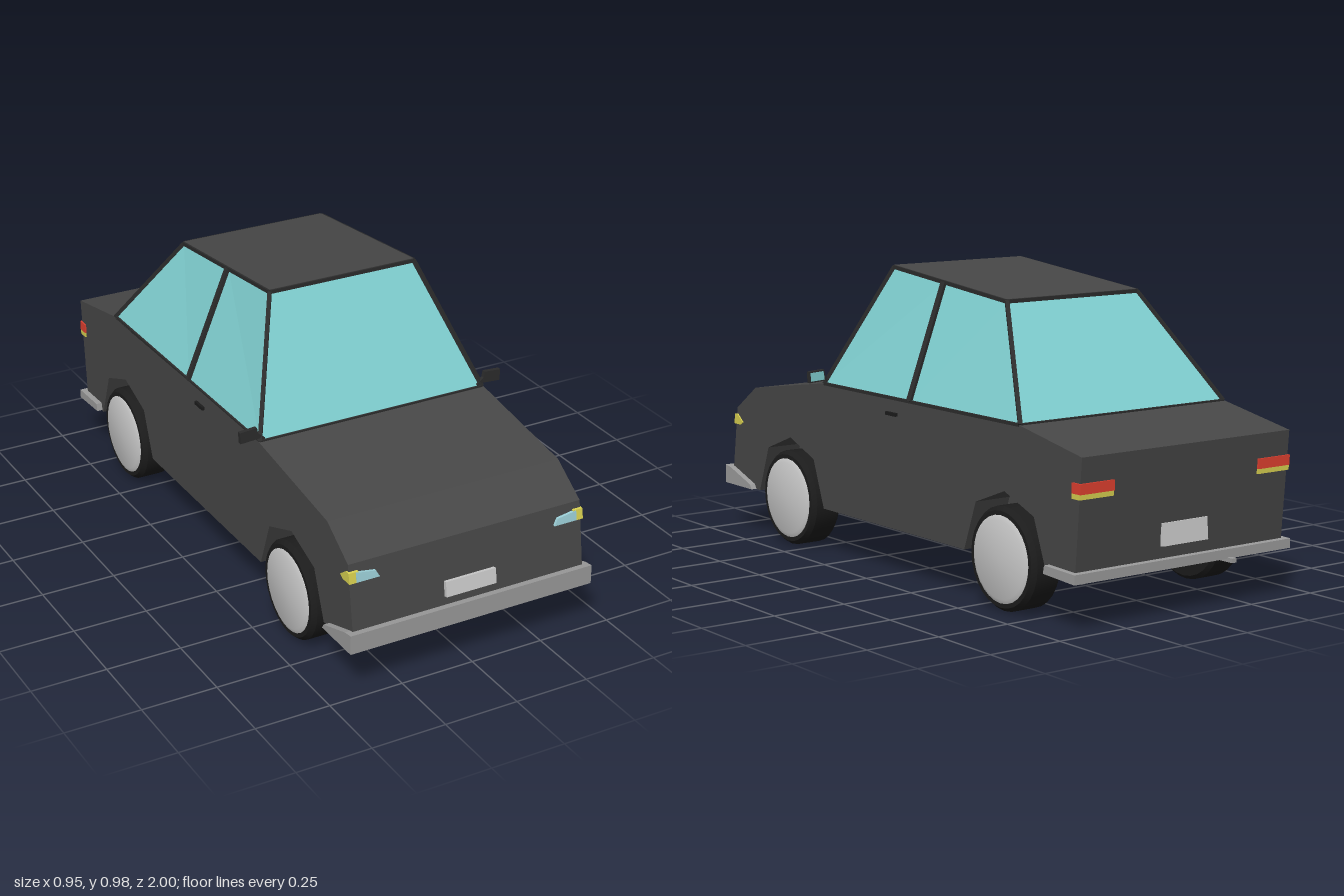
import * as THREE from 'three';
import { ConvexGeometry } from 'three/addons/geometries/ConvexGeometry.js';
import { toCreasedNormals } from 'three/addons/utils/BufferGeometryUtils.js';

const mat = (color) => new THREE.MeshStandardMaterial({ color, flatShading: true, side: THREE.DoubleSide });

export function createModel() {
  const car = new THREE.Group();
  car.name = 'car';
  const paint = mat(0x474747), trim = mat(0x2c2c2c), glass = mat(0x80d0d1), grey = mat(0xcccccc);
  const bumperGrey = mat(0x9c9c9c), rubber = mat(0x1c1c1c), red = mat(0xe04030), yellow = mat(0xd8d050), lamp = mat(0x9cd0d8);
  rubber.flatShading = grey.flatShading = false;

  const add = (name, geometry, material) => {
    const mesh = new THREE.Mesh(geometry, material);
    mesh.name = name;
    car.add(mesh);
    return mesh;
  };
  const box = (name, material, w, h, d, x, y, z) => {
    const m = add(name, new THREE.BoxGeometry(w, h, d), material);
    m.position.set(x, y, z);
    return m;
  };
  const hull = (name, material, pts) =>
    add(name, new ConvexGeometry(pts.map((p) => new THREE.Vector3(...p))), material);
  // Side profile given as [z, y], extruded across x0..x1
  const slab = (name, material, profile, x0, x1) => {
    const shape = new THREE.Shape(profile.map(([z, y]) => new THREE.Vector2(z, y)));
    const g = new THREE.ExtrudeGeometry(shape, { depth: x1 - x0, bevelEnabled: false });
    return add(name, g.rotateY(-Math.PI / 2).translate(x1, 0, 0), material);
  };
  const quad = (name, material, a, b, c, d) => {
    const g = new THREE.BufferGeometry();
    g.setAttribute('position', new THREE.Float32BufferAttribute([a, b, c, a, c, d].flat(), 3));
    g.computeVertexNormals();
    return add(name, g, material);
  };
  const beam = (name, a, b, t) => {
    const p = new THREE.Vector3(...a), q = new THREE.Vector3(...b);
    const m = add(name, new THREE.BoxGeometry(t, t, p.distanceTo(q)), trim);
    m.position.copy(p).lerp(q, 0.5);
    m.lookAt(q);
  };

  // Lower body: full core, plus outer slabs notched for the wheel arches
  const floor = 0.155, wheelZ = [0.595, -0.615];
  const upper = [[-0.955, floor], [-0.985, 0.525], [-0.69, 0.58], [0.39, 0.58], [0.82, 0.515], [0.945, 0.43], [0.985, floor]];
  const arch = (c) => [[0.205, floor], [0.145, 0.315], [0, 0.37], [-0.145, 0.315], [-0.205, floor]].map(([z, y]) => [c + z, y]);
  slab('bodyCore', paint, upper, -0.28, 0.28);
  const notched = [...upper, ...wheelZ.flatMap(arch)];
  slab('leftBodySide', paint, notched, 0.28, 0.41);
  slab('rightBodySide', paint, notched, -0.41, -0.28);

  // Cabin corners
  const FB = (s) => [s * 0.405, 0.58, 0.383], FT = (s) => [s * 0.26, 0.977, 0.18];
  const RB = (s) => [s * 0.405, 0.58, -0.687], RT = (s) => [s * 0.26, 0.917, -0.43];
  const PB = (s) => [s * 0.405, 0.58, -0.115], PT = (s) => [s * 0.26, 0.949, -0.103];
  quad('windscreen', glass, FB(-1), FB(1), FT(1), FT(-1));
  quad('rearWindow', glass, RB(1), RB(-1), RT(-1), RT(1));
  hull('roof', paint, [-1, 1].flatMap((s) => [FT(s), RT(s)].flatMap(([x, y, z]) => [[x, y - 0.006, z], [x, y + 0.007, z]])));
  beam('windscreenTopFrame', FT(-1), FT(1), 0.012);
  beam('rearWindowTopFrame', RT(-1), RT(1), 0.012);
  beam('windscreenBottomFrame', FB(-1), FB(1), 0.01);
  beam('rearWindowBottomFrame', RB(-1), RB(1), 0.01);

  // Wheels turn about x
  const lathe = (pts) => toCreasedNormals(new THREE.LatheGeometry(pts.map((p) => new THREE.Vector2(...p)), 28), 0.5);
  const tyre = lathe([[0, -0.057], [0.15, -0.057], [0.162, -0.045], [0.162, 0.04], [0.15, 0.055], [0.13, 0.055], [0, 0.05]]);
  const hub = lathe([[0.138, 0.04], [0.136, 0.056], [0.122, 0.062], [0, 0.062]]);

  for (const s of [1, -1]) {
    const side = s > 0 ? 'left' : 'right';
    const mir = (pts) => pts.map(([x, y, z]) => [s * x, y, z]);

    quad(side + 'FrontWindow', glass, FB(s), PB(s), PT(s), FT(s));
    quad(side + 'RearWindow', glass, PB(s), RB(s), RT(s), PT(s));
    beam(side + 'FrontPillar', FB(s), FT(s), 0.013);
    beam(side + 'MiddlePillar', PB(s), PT(s), 0.02);
    beam(side + 'RearPillar', RB(s), RT(s), 0.013);
    beam(side + 'RoofRail', FT(s), RT(s), 0.012);
    beam(side + 'WindowSill', FB(s), RB(s), 0.01);

    wheelZ.forEach((z, i) => {
      const name = side + (i ? 'Rear' : 'Front');
      for (const [part, g, m] of [['Tyre', tyre, rubber], ['Hubcap', hub, grey]]) {
        const w = add(name + part, g, m);
        w.rotation.z = -s * Math.PI / 2;
        w.position.set(s * 0.368, 0.162, z);
      }
    });

    // Headlamp and wrapped indicator
    hull(side + 'Headlamp', lamp, mir([0.94, 0.962].flatMap((z) =>
      [[0.31, 0.372, z], [0.39, 0.372, z], [0.39, 0.404, z - 0.004], [0.322, 0.394, z - 0.003]])));
    hull(side + 'Indicator', yellow, mir([0.38, 0.414].flatMap((x) =>
      [[x, 0.372, 0.962], [x, 0.406, 0.956], [x, 0.408, 0.94], [x, 0.382, 0.905], [x, 0.372, 0.92]])));

    // Tail lamps
    box(side + 'TailLamp', red, 0.13, 0.032, 0.04, s * 0.35, 0.431, -0.964);
    box(side + 'TailIndicator', yellow, 0.13, 0.016, 0.037, s * 0.35, 0.407, -0.962);

    // Door mirror with glass facing backwards
    hull(side + 'Mirror', trim, mir([0.37, 0.384].flatMap((z) =>
      [[0.408, 0.592, z], [0.472, 0.588, z], [0.474, 0.626, z], [0.415, 0.63, z]])));
    quad(side + 'MirrorGlass', glass, ...mir([[0.414, 0.596, 0.368], [0.468, 0.593, 0.368], [0.47, 0.622, 0.368], [0.419, 0.625, 0.368]]));
    beam(side + 'MirrorArm', [s * 0.39, 0.585, 0.377], [s * 0.415, 0.605, 0.377], 0.012);

    box(side + 'DoorHandle', rubber, 0.012, 0.011, 0.055, s * 0.413, 0.53, -0.022);
  }

  // Bumpers wrap round to the arches
  slab('frontBumper', bumperGrey, [[1, 0.156], [1, 0.22], [0.965, 0.215], [0.835, 0.172], [0.825, 0.156]], -0.43, 0.43);
  slab('rearBumper', bumperGrey, [[-0.83, 0.158], [-0.835, 0.184], [-0.978, 0.18], [-0.978, 0.15]], -0.43, 0.43);

  // Number plates, tilted with the body ends
  box('frontPlate', grey, 0.178, 0.05, 0.014, 0, 0.27, 0.974).rotation.x = -0.15;
  box('rearPlate', grey, 0.178, 0.07, 0.014, 0, 0.255, -0.967).rotation.x = 0.08;

  // Exhaust
  box('exhaust', bumperGrey, 0.018, 0.014, 0.14, -0.175, 0.147, -0.93);
  return car;
}
